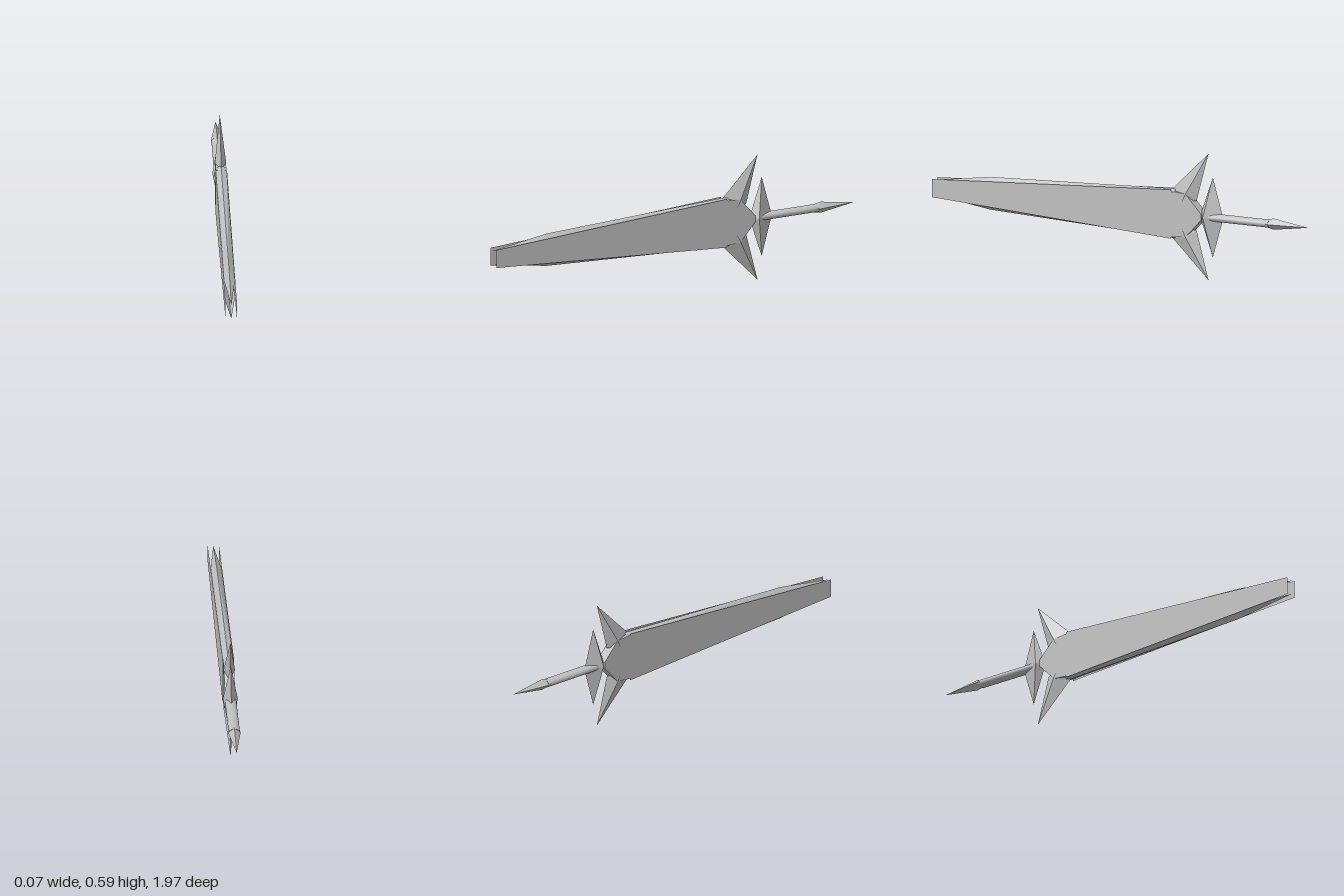
import * as THREE from 'three';
import { ConvexGeometry } from 'three/addons/geometries/ConvexGeometry.js';

const MID = 0.302; // height of the sword's long axis

export function createModel() {
  const root = new THREE.Group();
  const steel = new THREE.MeshStandardMaterial({ color: 0xc0c0c0, side: THREE.DoubleSide });

  const add = (name, geometry) => {
    const mesh = new THREE.Mesh(geometry, steel);
    mesh.name = name;
    root.add(mesh);
    return mesh;
  };
  // points are [x, height from the axis, z]
  const vec = ([x, y, z]) => new THREE.Vector3(x, MID + y, z);
  const hull = (name, points) => add(name, new ConvexGeometry(points.map(vec)));
  const faces = (name, triangles) => {
    const g = new THREE.BufferGeometry().setFromPoints(triangles.flat().map(vec));
    g.computeVertexNormals();
    return add(name, g);
  };

  // blade: two thin flat cheeks with a hollow between them
  for (const s of [1, -1]) {
    const x = s * 0.026;
    const a = [x, 0.042, 0.97], b = [x, -0.042, 0.97];
    const c = [x, -0.114, -0.285], d = [x, 0.114, -0.285];
    faces(s > 0 ? 'leftBladeCheek' : 'rightBladeCheek',
      s > 0 ? [[a, b, c], [a, c, d]] : [[a, c, b], [a, d, c]]);
  }

  // cutting edges: ridged strips that run to a point at the tip
  for (const v of [1, -1]) {
    const tip = [0, v * 0.033, 0.98];
    const ridge = [0, v * 0.076, 0.68], heel = [0, v * 0.116, -0.3];
    const triangles = [];
    for (const s of [1, -1]) {
      const base = [s * 0.025, v * 0.044, 0.74], end = [s * 0.025, v * 0.105, -0.3];
      const side = [[tip, base, ridge], [base, end, ridge], [end, heel, ridge]];
      triangles.push(...(s * v > 0 ? side : side.map(([a, b, c]) => [a, c, b])));
    }
    faces(v > 0 ? 'upperEdge' : 'lowerEdge', triangles);
  }

  // collar that closes the blade and narrows towards the grip
  const collar = [];
  for (const s of [1, -1]) for (const v of [1, -1]) {
    collar.push([s * 0.024, v * 0.108, -0.27], [s * 0.024, v * 0.1, -0.36],
      [s * 0.024, v * 0.015, -0.44]);
  }
  hull('collar', collar);

  // swept wings of the guard
  for (const v of [1, -1]) {
    hull(v > 0 ? 'upperWing' : 'lowerWing', [
      [0, v * 0.294, -0.467], [0, v * 0.116, -0.28], [0, v * 0.07, -0.405],
      [0.026, v * 0.1, -0.36], [-0.026, v * 0.1, -0.36],
      [0.024, v * 0.06, -0.34], [-0.024, v * 0.06, -0.34],
    ]);
  }

  // narrow cross guard, two spikes joined at the waist
  for (const v of [1, -1]) {
    hull(v > 0 ? 'upperSpike' : 'lowerSpike', [
      [0, v * 0.186, -0.49], [0, v * 0.016, -0.54], [0, v * 0.02, -0.43],
      [0.034, 0, -0.455], [-0.034, 0, -0.455], [0, 0, -0.43], [0, 0, -0.54],
    ]);
  }

  // oval grip
  const grip = add('grip', new THREE.CylinderGeometry(1, 1, 0.32, 20));
  grip.rotation.x = Math.PI / 2;
  grip.scale.set(0.026, 1, 0.018);
  grip.position.set(0, MID, -0.63);

  // pointed pommel
  hull('pommel', [
    [0.028, 0, -0.78], [-0.028, 0, -0.78], [0, 0.019, -0.775], [0, -0.019, -0.775],
    [0, 0.026, -0.81], [0, -0.026, -0.81], [0.026, 0, -0.81], [-0.026, 0, -0.81],
    [0, 0, -0.99],
  ]);

  return root;
}
